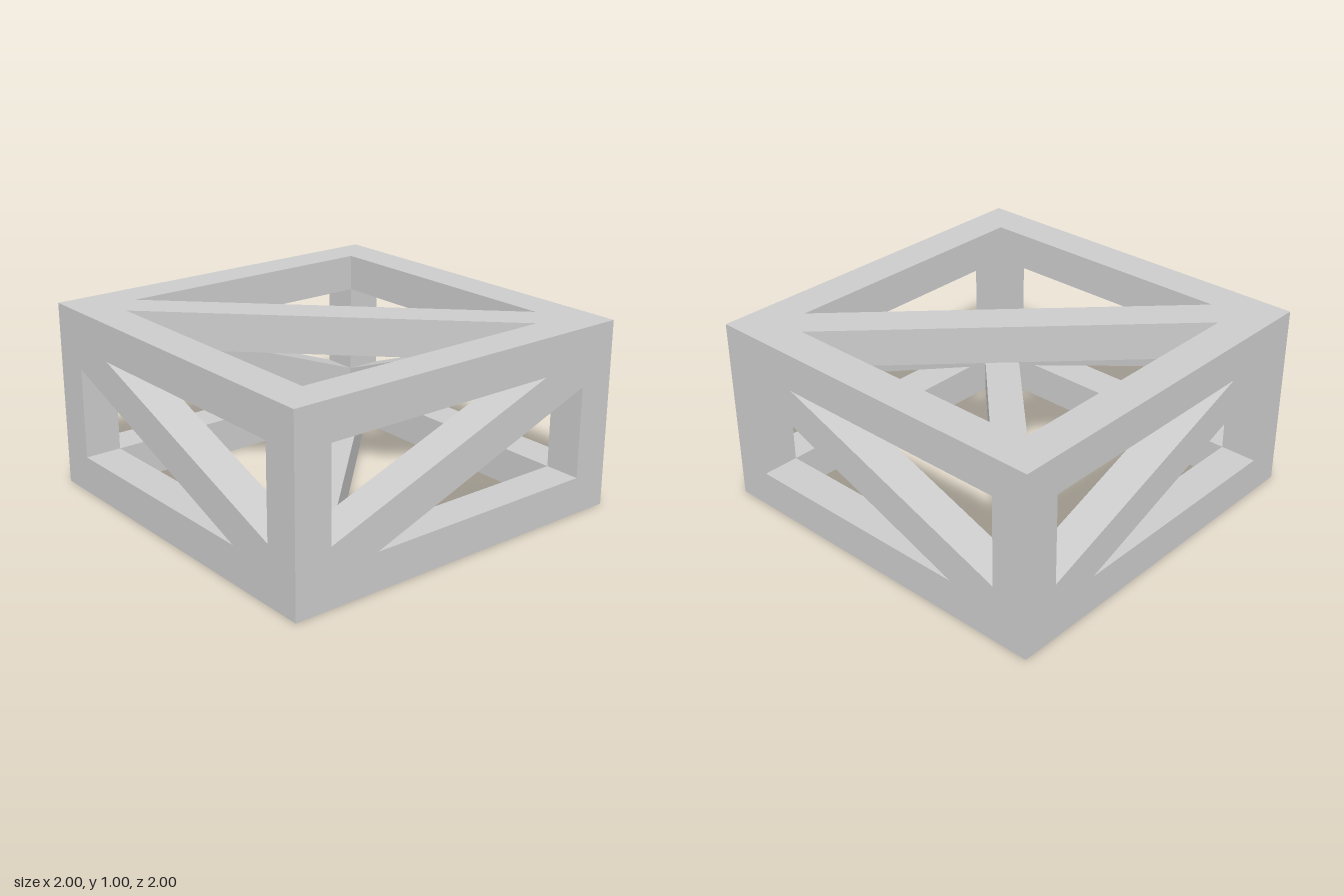
import * as THREE from 'three';

const T = 0.2; // beam thickness

export function createModel() {
  const model = new THREE.Group();
  const material = new THREE.MeshStandardMaterial({ color: 0xcccccc, flatShading: true });

  function beam(name, w, h, d, x, y, z) {
    const mesh = new THREE.Mesh(new THREE.BoxGeometry(w, h, d), material);
    mesh.name = name;
    mesh.position.set(x, y, z);
    model.add(mesh);
  }

  // Diagonal brace cut to an opening of half size a x b; u and v are the
  // places where its edges meet the opening. slope: -1 falls, +1 rises.
  function brace(name, a, b, u, v, slope, position, rotation) {
    const half = [[-a, v], [-a, b], [-u, b]];
    const outline = [...half, ...half.map(([x, y]) => [-x, -y])];
    const shape = new THREE.Shape(outline.map(([x, y]) => new THREE.Vector2(x, -slope * y)));
    const geometry = new THREE.ExtrudeGeometry(shape, { depth: T, bevelEnabled: false });
    geometry.translate(0, 0, -T / 2);
    const mesh = new THREE.Mesh(geometry, material);
    mesh.name = name;
    mesh.position.set(...position);
    mesh.rotation.set(...rotation);
    model.add(mesh);
  }

  // Rectangular frame: rails at top and bottom, posts at the corners
  for (const s of [-1, 1]) {
    for (const y of [0.1, 0.9]) {
      const level = y > 0.5 ? 'top' : 'bottom';
      beam(level + (s > 0 ? 'FrontRail' : 'BackRail'), 2, T, T, 0, y, 0.9 * s);
      beam(level + (s > 0 ? 'LeftRail' : 'RightRail'), T, T, 1.6, 0.9 * s, y, 0);
    }
    for (const z of [-0.9, 0.9]) {
      beam((z > 0 ? 'front' : 'back') + (s > 0 ? 'LeftPost' : 'RightPost'), T, 0.6, T, 0.9 * s, 0.5, z);
    }
  }

  // One diagonal brace in each face
  const q = Math.PI / 2;
  brace('frontBrace', 0.8, 0.3, 0.53, 0.19, -1, [0, 0.5, 0.9], [0, 0, 0]);
  brace('backBrace', 0.8, 0.3, 0.53, 0.19, -1, [0, 0.5, -0.9], [0, 2 * q, 0]);
  brace('leftBrace', 0.8, 0.3, 0.53, 0.19, 1, [0.9, 0.5, 0], [0, q, 0]);
  brace('rightBrace', 0.8, 0.3, 0.53, 0.19, 1, [-0.9, 0.5, 0], [0, -q, 0]);
  brace('topBrace', 0.8, 0.8, 0.66, 0.66, 1, [0, 0.9, 0], [-q, 0, 0]);
  brace('bottomBrace', 0.8, 0.8, 0.66, 0.66, -1, [0, 0.1, 0], [-q, 0, 0]);

  return model;
}
